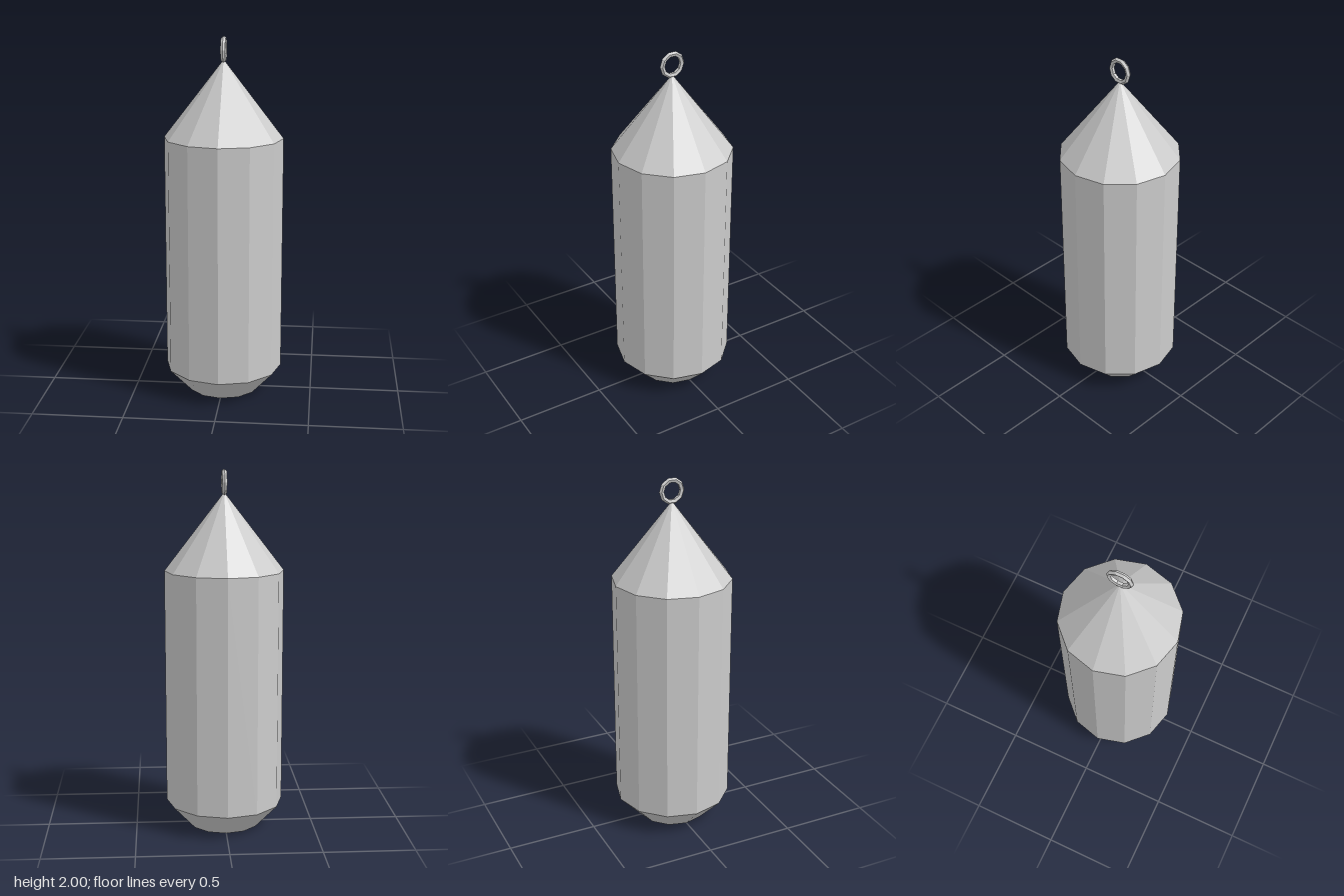
import * as THREE from 'three';

const SIDES = 12;

export function createModel() {
  const model = new THREE.Group();
  const material = new THREE.MeshStandardMaterial({ color: 0xcccccc, flatShading: true });

  const add = (name, geometry, y) => {
    const mesh = new THREE.Mesh(geometry, material);
    mesh.name = name;
    mesh.position.y = y;
    model.add(mesh);
    return mesh;
  };

  // Faceted weight: closed shell from bottom disc to pointed tip
  const profile = [[0, 0], [0.198, 0], [0.328, 0.138], [0.328, 1.452], [0, 1.877]]
    .map(([r, y]) => new THREE.Vector2(r, y));
  add('weightBody', new THREE.LatheGeometry(profile, SIDES), 0);

  // Hanging ring standing in the side plane above the tip
  const ring = new THREE.TorusGeometry(0.059, 0.0135, 5, 10);
  ring.rotateY(Math.PI / 2);
  add('hangingRing', ring, 1.931);

  return model;
}
